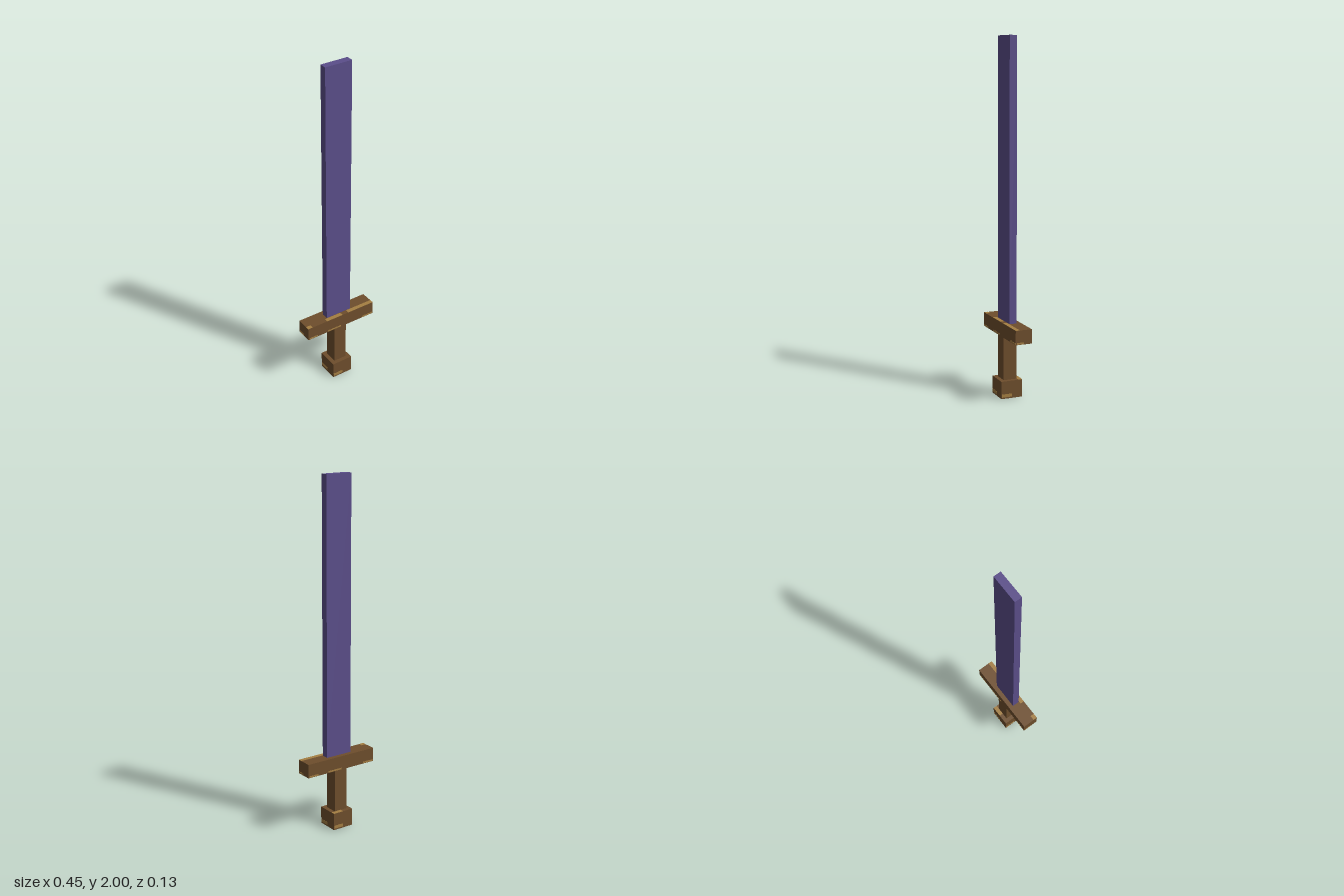
import * as THREE from 'three';

const mat = (name, color) => {
  const m = new THREE.MeshStandardMaterial({ color });
  m.name = name;
  return m;
};

export function createModel() {
  const sword = new THREE.Group();
  sword.name = 'sword';
  const purple = mat('purple blade', 0x5b4e8a);
  const brown = mat('brown wood', 0x6e4e2c);
  const tan = mat('tan wood', 0xa47e42);

  // Box given by its minimum and maximum corners
  const box = (name, material, [x0, y0, z0], [x1, y1, z1]) => {
    const mesh = new THREE.Mesh(new THREE.BoxGeometry(x1 - x0, y1 - y0, z1 - z0), material);
    mesh.position.set((x0 + x1) / 2, (y0 + y1) / 2, (z0 + z1) / 2);
    mesh.name = name;
    sword.add(mesh);
  };

  box('blade', purple, [-0.081, 0.43, -0.022], [0.081, 2, 0.02]);
  box('crossguard', brown, [-0.225, 0.35, -0.048], [0.225, 0.43, 0.047]);
  box('grip', brown, [-0.04, 0.1, -0.04], [0.04, 0.35, 0.038]);
  box('pommel', brown, [-0.064, 0, -0.064], [0.064, 0.1, 0.062]);

  const t = 0.001; // plate thickness

  // Worn tan patches along the front edge of the guard's top
  for (const [a, b] of [[-0.225, -0.195], [-0.097, 0.01], [0.05, 0.225]])
    box('guardTopWear', tan, [a, 0.43, 0.023], [b, 0.43 + t, 0.047]);

  // Tan strips along the lower edge of the guard's front and back
  for (const [a, b] of [[-0.22, -0.16], [-0.09, 0.0], [0.15, 0.22]]) {
    box('guardFrontWear', tan, [a, 0.352, 0.047], [b, 0.361, 0.047 + t]);
    box('guardBackWear', tan, [-b, 0.352, -0.048 - t], [-a, 0.361, -0.048]);
  }

  // Tan patches on the guard's ends
  box('guardEndWear', tan, [0.225, 0.352, 0], [0.225 + t, 0.362, 0.04]);
  box('guardEndWear', tan, [-0.225 - t, 0.352, -0.04], [-0.225, 0.362, 0]);

  // Tan patches around the pommel's foot and on its top
  box('pommelFrontWear', tan, [-0.062, 0.008, 0.062], [0, 0.026, 0.062 + t]);
  box('pommelBackWear', tan, [0, 0.008, -0.064 - t], [0.062, 0.026, -0.064]);
  box('pommelSideWear', tan, [0.064, 0.008, 0], [0.064 + t, 0.026, 0.06]);
  box('pommelSideWear', tan, [-0.064 - t, 0.008, -0.06], [-0.064, 0.026, 0]);
  box('pommelTopWear', tan, [0, 0.1, -0.064], [0.064, 0.1 + t, -0.04]);

  return sword;
}
